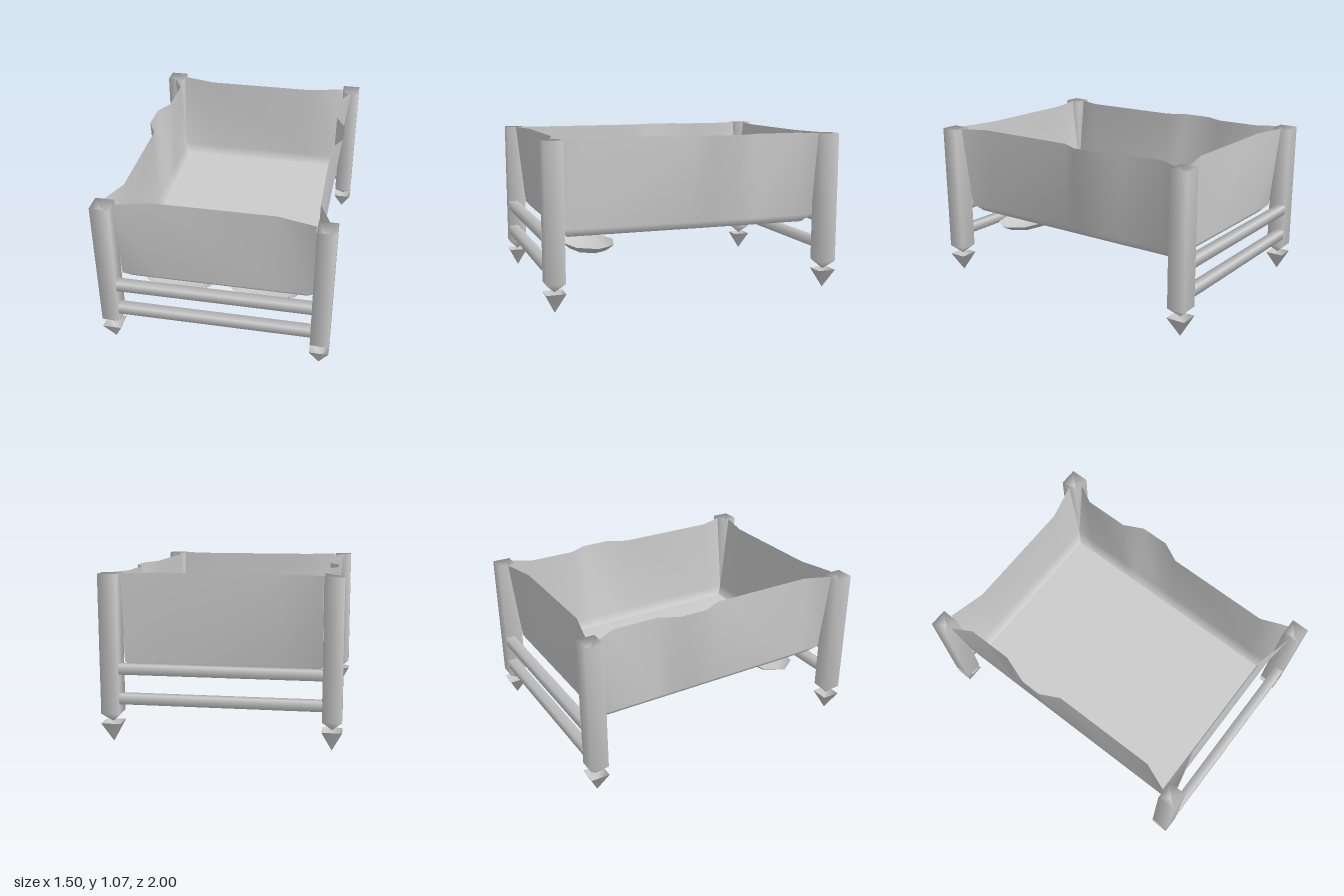
import * as THREE from 'three';

const material = new THREE.MeshStandardMaterial({ color: 0xcccccc, side: THREE.DoubleSide });

const HALF_X = 0.62, HALF_Z = 0.875; // basket footprint
const RIM_Y = 1.065, BASE_Y = 0.5, FLOOR_Y = 0.447, BEVEL = 0.05;

function add(parent, name, geometry, x = 0, y = 0, z = 0) {
  const mesh = new THREE.Mesh(geometry, material);
  mesh.name = name;
  mesh.position.set(x, y, z);
  parent.add(mesh);
  return mesh;
}

// Smooth sheet through rows of equally many points
function sheet(rows) {
  const n = rows[0].length, index = [];
  for (let r = 0; r < rows.length - 1; r++) {
    for (let i = 0; i < n - 1; i++) {
      const a = r * n + i, b = a + n;
      index.push(a, b, a + 1, a + 1, b, b + 1);
    }
  }
  const g = new THREE.BufferGeometry();
  g.setAttribute('position', new THREE.Float32BufferAttribute(rows.flat(2), 3));
  g.setIndex(index);
  g.computeVertexNormals();
  return g;
}

// Wall from a plan of [position along wall, outward rim position]
function wall(plan, half, alongHalf, sign, toXYZ) {
  const inset = (alongHalf - BEVEL) / alongHalf;
  return sheet([
    plan.map(([t, out]) => toXYZ(t, RIM_Y, sign * out)),
    plan.map(([t]) => toXYZ(t, BASE_Y, sign * half)),
    plan.map(([t]) => toXYZ(t * inset, FLOOR_Y, sign * (half - BEVEL))),
  ]);
}

// Square profile solid with smooth normals
function squareLathe(profile) {
  const points = profile.map(([halfWidth, y]) => new THREE.Vector2(halfWidth * Math.SQRT2, y));
  return new THREE.LatheGeometry(points, 4).rotateY(Math.PI / 4);
}

export function createModel() {
  const model = new THREE.Group();
  model.name = 'cot';

  // Fabric basket: rims flare out to the posts, long sides have one bulge
  const basket = new THREE.Group();
  basket.name = 'basket';
  model.add(basket);
  const sidePlan = [
    [0.875, 0.69], [0.7, 0.62], [0, 0.62], [-0.13, 0.685],
    [-0.32, 0.685], [-0.45, 0.62], [-0.75, 0.62], [-0.875, 0.69],
  ];
  const endPlan = [[0.62, 0.935], [0.38, 0.875], [-0.38, 0.875], [-0.62, 0.935]];
  for (const s of [1, -1]) {
    add(basket, s > 0 ? 'leftWall' : 'rightWall',
      wall(sidePlan, HALF_X, HALF_Z, s, (t, y, out) => [out, y, t]));
    add(basket, s > 0 ? 'frontWall' : 'backWall',
      wall(endPlan, HALF_Z, HALF_X, s, (t, y, out) => [t, y, out]));
  }
  const floor = new THREE.PlaneGeometry(2 * (HALF_X - BEVEL), 2 * (HALF_Z - BEVEL)).rotateX(-Math.PI / 2);
  add(basket, 'basketFloor', floor, 0, FLOOR_Y, 0);

  // Square posts with pointed ends, standing on pointed feet
  const postGeometry = squareLathe([[0, 0.13], [0.06, 0.19], [0.06, RIM_Y], [0, RIM_Y - 0.06]]);
  const footGeometry = squareLathe([[0, 0], [0.062, 0.128]]);
  for (const x of [-0.686, 0.686]) {
    for (const z of [-0.938, 0.938]) {
      add(model, 'post', postGeometry, x, 0, z);
      add(model, 'foot', footGeometry, x, 0, z);
    }
  }

  // Two cross rails at each end
  const railGeometry = squareLathe([[0.031, -0.627], [0.031, 0.627]]).rotateZ(Math.PI / 2);
  for (const z of [-0.969, 0.969]) {
    for (const y of [0.475, 0.287]) add(model, 'rail', railGeometry, 0, y, z);
  }

  // Two shallow open dishes beneath the basket
  for (const x of [-0.2875, 0.2875]) {
    const dish = new THREE.Group();
    dish.name = 'dish';
    dish.position.set(x, 0, 0.625);
    model.add(dish);
    const points = [[0, 0], [0.7, 0], [1, 0.045]].map(([r, y]) => new THREE.Vector2(r, y));
    add(dish, 'dishShell', new THREE.LatheGeometry(points, 8).scale(0.2875, 1, 0.175), 0, 0.31, 0);
  }
  return model;
}
